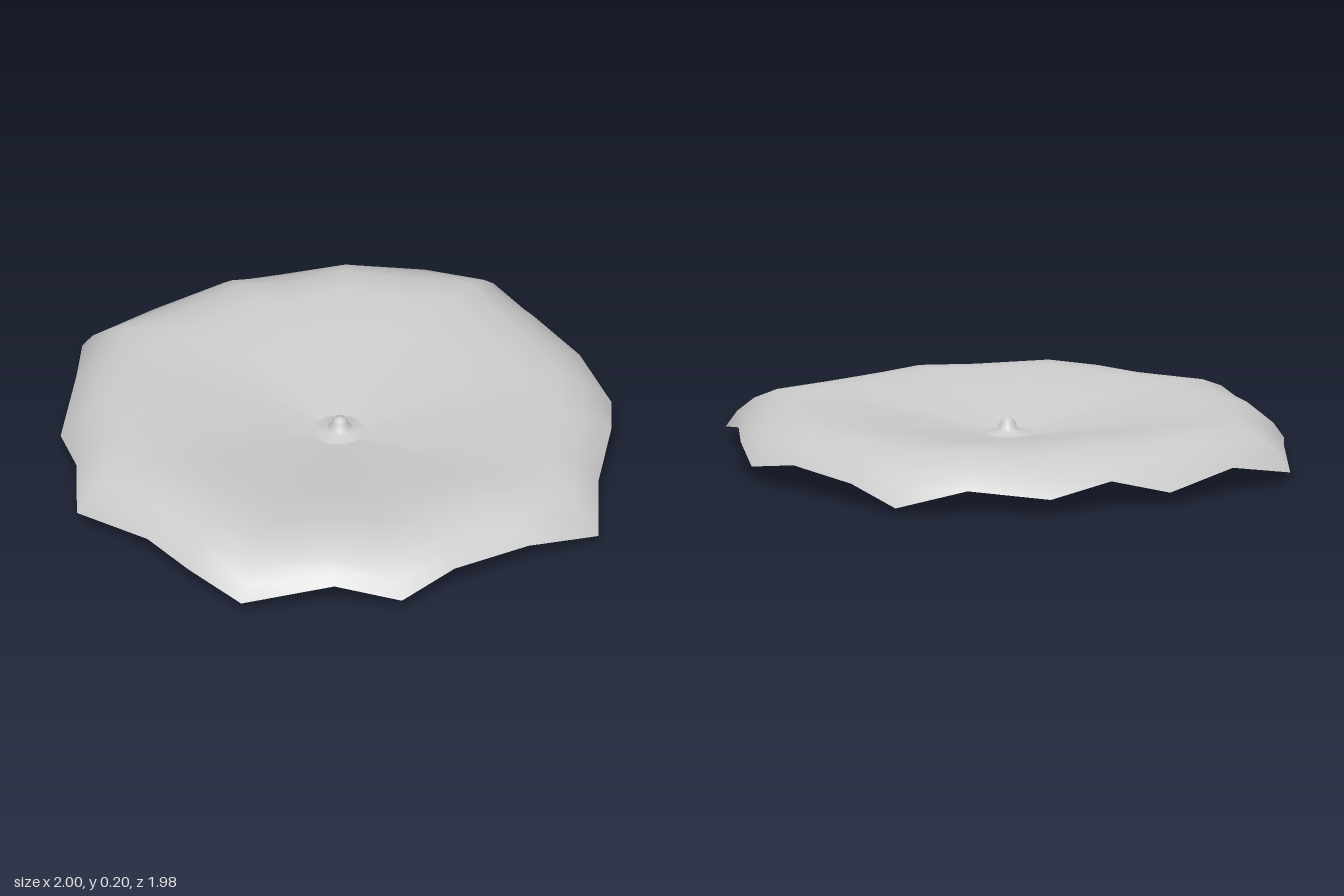
import * as THREE from 'three';

// Wavy outline of the leaf, counter-clockwise from above: [x, edge height, z]
const outline = [
  [-1, .06, .23], [-.8, .09, .48], [-.7, .09, .69], [-.55, .05, .88], [-.22, .1, .92], [.01, .05, .99],
  [.22, .1, .91], [.51, .09, .82], [.78, .04, .75], [.84, .09, .49], [.95, .1, .21], [1, .055, -.01],
  [.94, .1, -.25], [.84, .08, -.54], [.77, .03, -.78], [.53, .09, -.87], [.26, .06, -.99], [.01, .1, -.95],
  [-.2, .05, -.99], [-.5, .09, -.85], [-.75, .04, -.78], [-.83, .09, -.53], [-.95, .05, -.25], [-.95, .1, 0],
];

// Rings are [scale, height, follow]; follow 1 takes the edge height, 0 the ring height
function ringSurface(name, rings, flip, material) {
  const n = outline.length, pos = [], index = [];
  for (const [t, y, follow] of rings) {
    for (const [x, ye, z] of outline) pos.push(x * t, y + (ye - y) * follow, z * t);
  }
  for (let r = 0; r < rings.length - 1; r++) {
    for (let i = 0; i < n; i++) {
      const j = (i + 1) % n;
      const a = r * n + i, b = a + n, c = (r + 1) * n + j, d = r * n + j;
      if (flip) index.push(a, c, b, a, d, c);
      else index.push(a, b, c, a, c, d);
    }
  }
  const g = new THREE.BufferGeometry();
  g.setAttribute('position', new THREE.Float32BufferAttribute(pos, 3));
  g.setIndex(index);
  g.computeVertexNormals();
  const mesh = new THREE.Mesh(g, material);
  mesh.name = name;
  return mesh;
}

export function createModel() {
  const group = new THREE.Group();
  group.name = 'scallopedDisc';
  const material = new THREE.MeshStandardMaterial({ color: 0xcccccc });

  // Dished top that curls down into the wavy rim
  group.add(ringSurface('topSurface', [
    [0, .085, 0], [.1, .1, 0], [.3, .135, 0], [.5, .17, 0], [.7, .2, 0],
    [.82, .19, 0], [.9, .19, .25], [.96, .19, .6], [1, .19, 1],
  ], false, material));

  // Shallow conical underside
  group.add(ringSurface('underside', [
    [0, 0, 0], [.25, .04, 0], [.5, .08, 0], [.75, .115, 0], [.93, .15, .5],
  ], true, material));

  // Inner face of the curled rim
  group.add(ringSurface('rimLip', [[.93, .15, .5], [1, .15, 1]], true, material));

  // Small nub with a flared foot in the middle
  const profile = [[.1, .097], [.05, .106], [.033, .118], [.028, .136], [.018, .15], [0, .156]];
  const nub = new THREE.Mesh(
    new THREE.LatheGeometry(profile.map(([x, y]) => new THREE.Vector2(x, y)), 16), material);
  nub.name = 'centreNub';
  nub.position.x = .01;
  group.add(nub);

  return group;
}
